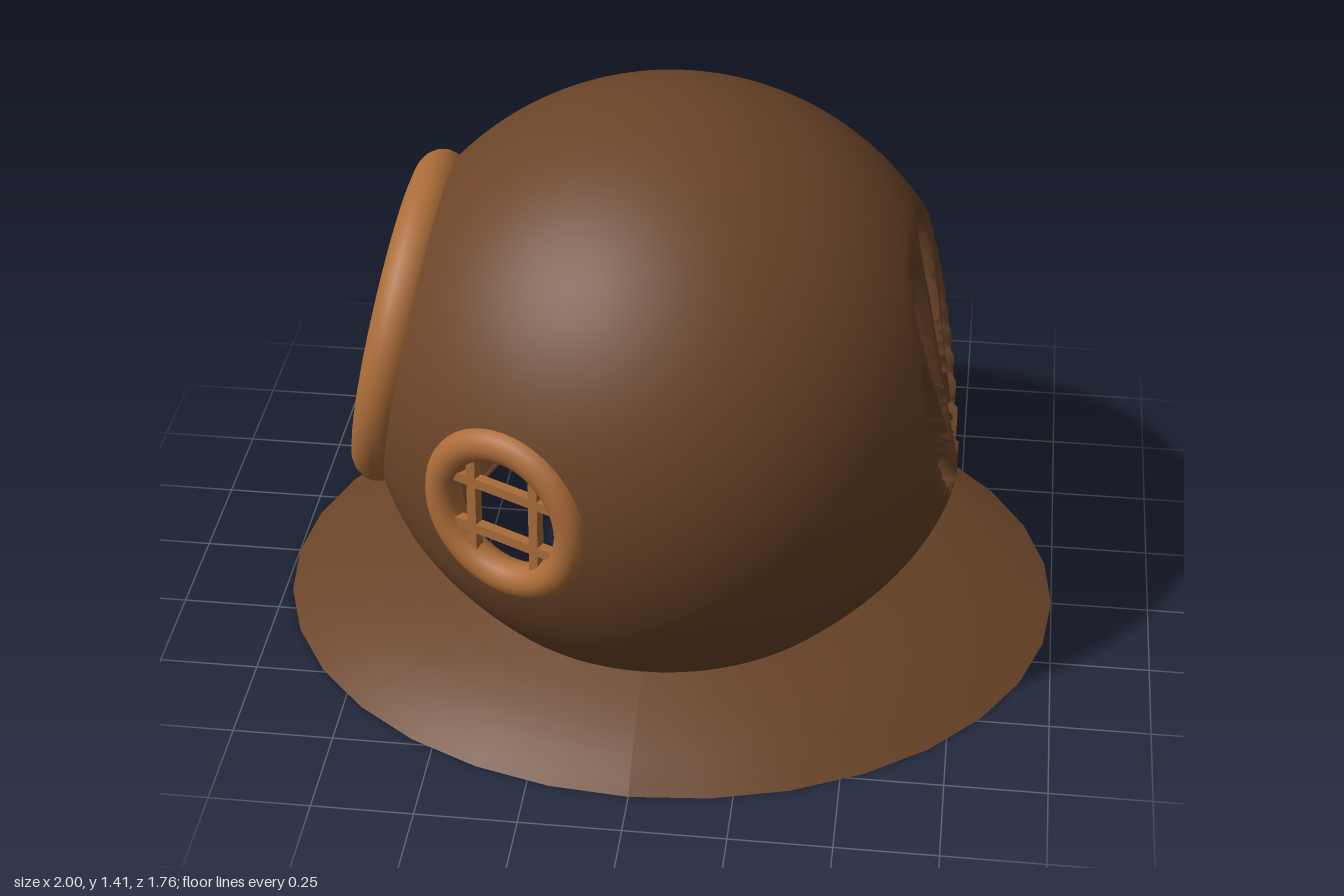
import * as THREE from 'three';
import { mergeVertices } from 'three/addons/utils/BufferGeometryUtils.js';

const R = 0.767, CENTRE = new THREE.Vector3(0, 0.645, 0);
const clamp = THREE.MathUtils.clamp;
const copper = new THREE.MeshStandardMaterial({ color: 0x6b4428, side: THREE.DoubleSide });
const brass = new THREE.MeshStandardMaterial({ color: 0xab6c38 });

// Unit direction from the dome centre: turn from the front towards -x, then lift
function direction(turn, lift) {
  const t = THREE.MathUtils.degToRad(turn), l = THREE.MathUtils.degToRad(lift);
  return new THREE.Vector3(-Math.sin(t) * Math.cos(l), Math.sin(l), Math.cos(t) * Math.cos(l));
}

const ports = [
  { name: 'frontPort', dir: direction(25.5, 1), dist: 0.723, ring: 0.185, tube: 0.044, hole: 0.165, bars: [0.088, 0.065, 0.025] },
  { name: 'backPort', dir: direction(153.5, 1), dist: 0.737, ring: 0.185, tube: 0.044, hole: 0.165 },
  { name: 'sidePort', dir: direction(90, 11), dist: 0.672, ring: 0.365, tube: 0.064, hole: 0.35, bars: [0.16, 0.15, 0.036] },
];

// Buckled side window: flat cut, pushed in between three ridges fanning up from the bottom
function dent(p) {
  const y = p.y + CENTRE.y;
  const plane = 0.735 - 0.2 * (y - 0.43);
  if (p.x <= plane) return;
  const up = y - 0.43, a = Math.atan2(p.z, up);
  const s = clamp(Math.hypot(up, p.z) / (0.7 * Math.max(Math.cos(a), 0.05)), 0, 1);
  const gap = Math.min(...[-0.49, 0, 0.49].map(r => Math.abs(a - r)));
  const valley = clamp((gap - 0.05) / 0.08, 0, 1);
  p.x = plane - 0.23 * valley * (s < 0.68 ? s / 0.68 : (1 - s) / 0.32);
}

// Dome with round openings for the ports and the neck
function domeGeometry() {
  let geo = new THREE.SphereGeometry(R, 144, 96).rotateZ(-Math.PI / 2);
  geo.deleteAttribute('uv');
  geo.deleteAttribute('normal');
  geo = mergeVertices(geo, 1e-5);
  const cuts = ports.map(o => ({ n: o.dir, r: o.hole }));
  cuts.push({ n: new THREE.Vector3(0, -1, 0), r: 0.588 });
  const pos = geo.attributes.position, cutBy = [];
  const p = new THREE.Vector3();
  for (let i = 0; i < pos.count; i++) {
    p.fromBufferAttribute(pos, i);
    cutBy[i] = -1;
    cuts.forEach(({ n, r }, k) => {
      const d = Math.sqrt(R * R - r * r), h = p.dot(n);
      if (h <= d) return;
      // slide the vertex onto the rim of the opening
      cutBy[i] = k;
      p.addScaledVector(n, -h);
      if (p.length() < 1e-6) p.set(n.y, -n.x, 0.01);
      p.setLength(r).addScaledVector(n, d);
    });
    if (p.x > 0.4) dent(p);
    p.x *= 1 - 0.07 * clamp((-0.245 - p.y) / 0.24, 0, 1) ** 2;
    pos.setXYZ(i, p.x, p.y, p.z);
  }
  const old = geo.index.array, kept = [];
  for (let i = 0; i < old.length; i += 3) {
    const [a, b, c] = [old[i], old[i + 1], old[i + 2]];
    if (cutBy[a] >= 0 && cutBy[a] === cutBy[b] && cutBy[a] === cutBy[c]) continue;
    kept.push(a, b, c);
  }
  geo.setIndex(kept);
  geo.computeVertexNormals();
  return geo;
}

// Flared collar: round at the neck, oval at the hem
function collarGeometry() {
  const profile = [[1, 0.005], [0.94, 0.032], [0.86, 0.066], [0.76, 0.102], [0.65, 0.134], [0.55, 0.162]];
  const geo = new THREE.LatheGeometry(profile.map(q => new THREE.Vector2(...q)), 32);
  const pos = geo.attributes.position;
  for (let i = 0; i < pos.count; i++) {
    const r = Math.hypot(pos.getX(i), pos.getZ(i));
    pos.setZ(i, pos.getZ(i) * THREE.MathUtils.mapLinear(r, 0.55, 1, 1.07, 0.88));
  }
  geo.computeVertexNormals();
  return geo;
}

// Port ring, with an optional guard of two upright and two level bars
function port({ name, dir, dist, ring, tube, bars }) {
  const g = new THREE.Group();
  g.name = name;
  const rim = new THREE.Mesh(new THREE.TorusGeometry(ring, tube, 16, 48), brass);
  rim.name = name + 'Ring';
  g.add(rim);
  if (bars) {
    const [bx, by, t] = bars;
    for (const s of [-1, 1]) {
      const upright = new THREE.Mesh(new THREE.BoxGeometry(t, 2 * Math.sqrt(ring ** 2 - bx ** 2), t), brass);
      upright.position.set(s * bx, 0, 0.01);
      const level = new THREE.Mesh(new THREE.BoxGeometry(2 * Math.sqrt(ring ** 2 - by ** 2), t, t), brass);
      level.position.set(0, s * by, 0.01);
      upright.name = level.name = name + 'GuardBar';
      g.add(upright, level);
    }
  }
  g.position.copy(CENTRE).addScaledVector(dir, dist);
  g.lookAt(g.position.clone().add(dir));
  return g;
}

export function createModel() {
  const model = new THREE.Group();
  model.name = 'divingHelmet';
  const dome = new THREE.Mesh(domeGeometry(), copper);
  dome.name = 'dome';
  dome.position.copy(CENTRE);
  const collar = new THREE.Mesh(collarGeometry(), copper);
  collar.name = 'collar';
  model.add(dome, collar, ...ports.map(port));
  return model;
}
